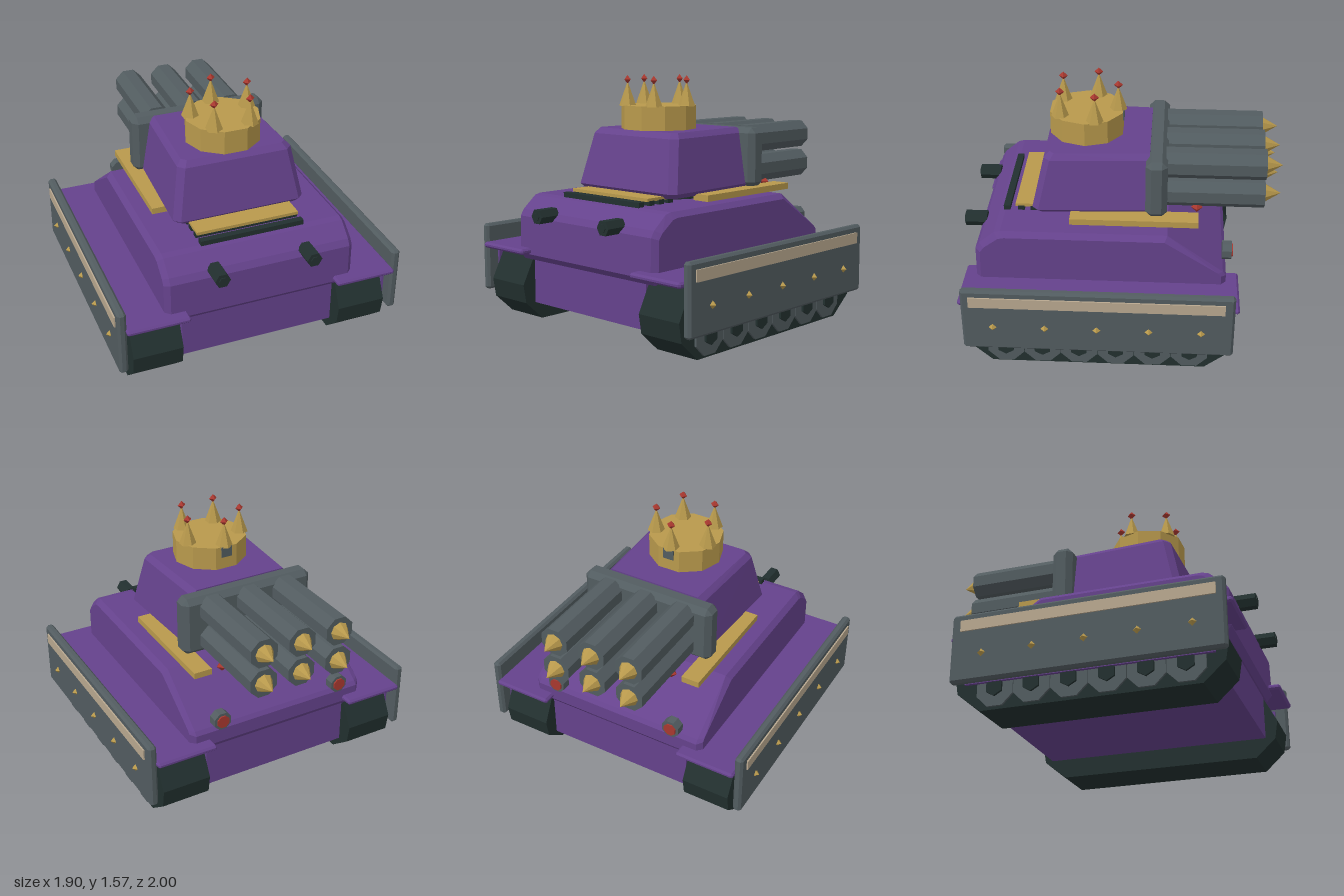
import * as THREE from 'three';
import { ConvexGeometry } from 'three/addons/geometries/ConvexGeometry.js';

const mat = (name, color) => {
  const m = new THREE.MeshStandardMaterial({ color, flatShading: true });
  m.name = name;
  return m;
};

export function createModel() {
  const purple = mat('purple', 0x65428c), grey = mat('steel grey', 0x525c60);
  const dark = mat('dark rubber', 0x22302f), gold = mat('gold', 0xb8994c);
  const beige = mat('beige', 0xb9a88f), red = mat('red', 0xa8382f);
  const model = new THREE.Group();
  model.name = 'tank';

  const add = (name, geo, material, x = 0, y = 0, z = 0) => {
    const m = new THREE.Mesh(geo, material);
    m.name = name;
    m.position.set(x, y, z);
    model.add(m);
    return m;
  };
  const box = (w, h, d) => new THREE.BoxGeometry(w, h, d);
  // Convex solid from [x, y, z] points
  const convex = (pts) => new ConvexGeometry(pts.map((p) => new THREE.Vector3(...p)));
  // Box with chamfered edges
  const chamferBox = (w, h, d, b) => {
    const pts = [], X = w / 2, Y = h / 2, Z = d / 2;
    for (const i of [-1, 1]) for (const j of [-1, 1]) for (const k of [-1, 1]) {
      pts.push([i * X, j * (Y - b), k * (Z - b)], [i * (X - b), j * Y, k * (Z - b)], [i * (X - b), j * (Y - b), k * Z]);
    }
    return convex(pts);
  };
  // Prism along z or x with a flat side facing up
  const prismZ = (r, len, n, r2 = r) =>
    new THREE.CylinderGeometry(r2, r, len, n).rotateY(Math.PI / n).rotateX(Math.PI / 2);
  const prismX = (r, len, n) =>
    new THREE.CylinderGeometry(r, r, len, n).rotateY(Math.PI / n).rotateZ(Math.PI / 2);

  // Lower hull
  add('lowerHull', box(1, 0.32, 1.49), purple, 0, 0.28, 0.105);

  // Upper hull: [z, y] side profile, pulled in towards the outer sides
  const profile = [[0.86, 0.4], [0.895, 0.44], [0.89, 0.68], [0.865, 0.72], [0.77, 0.8], [0.73, 0.81],
    [-0.3, 0.81], [-0.65, 0.555], [-0.67, 0.53], [-0.67, 0.44], [-0.64, 0.4]];
  const hull = [];
  for (const s of [-1, 1]) for (const [z, y] of profile) {
    hull.push([s * 0.582, y, z]);
    hull.push([s * 0.615, 0.6 + (y - 0.6) * 0.85, 0.1 + (z - 0.1) * 0.96]);
  }
  add('upperHull', convex(hull), purple);

  for (const s of [-1, 1]) {
    // Track body, extruded across x
    const shape = new THREE.Shape([[-0.78, 0], [-0.91, 0.12], [-0.93, 0.24], [-0.84, 0.415],
      [0.63, 0.415], [0.72, 0.24], [0.7, 0.12], [0.55, 0]].map((p) => new THREE.Vector2(...p)));
    const track = new THREE.ExtrudeGeometry(shape, { depth: 0.315, bevelEnabled: false });
    track.translate(0, 0, -0.1575).rotateY(Math.PI / 2);
    add('track', track, dark, s * 0.6775, 0, 0);

    // Road wheels and hubs
    for (let i = 0; i < 6; i++) {
      const z = 0.69 - i * 0.229;
      add('roadWheel', prismX(0.122, 0.04, 8), grey, s * 0.83, 0.13, z);
      add('wheelHub', prismX(0.055, 0.06, 6), dark, s * 0.835, 0.13, z);
    }

    // Fender, inner guard and armoured skirt
    add('fender', chamferBox(0.395, 0.036, 1.72, 0.012), purple, s * 0.6775, 0.463, 0.11);
    add('innerGuard', box(0.02, 0.27, 1.5), purple, s * 0.863, 0.295, 0.11);
    add('skirt', chamferBox(0.055, 0.435, 1.66, 0.015), grey, s * 0.8955, 0.3775, 0.11);
    add('skirtStripe', box(0.009, 0.07, 1.55), beige, s * 0.9275, 0.515, 0.115);
    for (let i = 0; i < 5; i++) {
      add('rivet', new THREE.OctahedronGeometry(0.026), gold, s * 0.922, 0.33, 0.75 - i * 0.3175);
    }

    // Gold deck rail
    add('deckRail', box(0.12, 0.04, 0.8), gold, s * 0.435, 0.833, -0.09);

    // Headlight
    add('headlight', prismZ(0.049, 0.14, 6), dark, s * 0.295, 0.715, 0.925);
    add('headlightLens', prismZ(0.026, 0.008, 6), dark, s * 0.295, 0.715, 0.997);

    // Tail lamp
    add('tailLampHousing', prismZ(0.06, 0.06, 8), grey, s * 0.42, 0.61, -0.675);
    add('tailLamp', prismZ(0.042, 0.012, 8), red, s * 0.42, 0.61, -0.708);
  }

  // Front vent: dark slats below a gold cover
  add('ventCover', box(0.665, 0.02, 0.2), gold, 0, 0.845, 0.565);
  for (const z of [0.72, 0.63, 0.55, 0.47]) add('ventSlat', box(0.67, 0.032, 0.042), dark, 0, 0.823, z);

  // Turret ring and turret: chamfered tapering rings
  add('turretRing', new THREE.CylinderGeometry(0.34, 0.34, 0.07, 16), dark, 0, 0.83, 0.15);
  const turret = [];
  const ring = (y, front, back, zf, zb, c) => {
    for (const s of [-1, 1]) {
      turret.push([s * front, y, zf - c], [s * (front - c), y, zf], [s * back, y, zb]);
    }
  };
  ring(0.84, 0.395, 0.37, 0.52, -0.18, 0.03);
  ring(0.872, 0.43, 0.4, 0.55, -0.18, 0.04);
  ring(1.195, 0.372, 0.345, 0.475, -0.18, 0.04);
  ring(1.23, 0.34, 0.31, 0.44, -0.18, 0.03);
  add('turret', convex(turret), purple);

  // Launcher back plate
  add('launcherPlate', chamferBox(0.91, 0.385, 0.135, 0.035), grey, 0, 1.0375, -0.225);

  // Two rows of three launch tubes with pointed tips
  for (const x of [-0.258, 0, 0.258]) {
    for (const y of [1.143, 0.942]) {
      add('launchTube', prismZ(0.0965, 0.62, 8), grey, x, y, -0.59);
      const tip = new THREE.ConeGeometry(0.06, 0.1, 8).rotateX(-Math.PI / 2);
      add('rocketTip', tip, gold, x, y, -0.95);
    }
    add('tubeGem', new THREE.OctahedronGeometry(0.038), red, x * 1.16, 0.847, -0.48);
  }

  // Crown with five jewelled spires
  const cz = 0.228;
  add('crownBand', new THREE.CylinderGeometry(0.24, 0.24, 0.15, 10).rotateY(Math.PI / 10), gold, 0, 1.305, cz);
  for (let i = 0; i < 5; i++) {
    const a = Math.PI + i * Math.PI * 0.4;
    const x = 0.197 * Math.sin(a), z = cz + 0.197 * Math.cos(a);
    add('crownSpire', new THREE.ConeGeometry(0.056, 0.155, 6), gold, x, 1.4525, z);
    add('crownJewel', new THREE.OctahedronGeometry(0.028), red, x, 1.54, z);
  }
  add('crownClasp', box(0.075, 0.07, 0.03), grey, 0, 1.345, 0.007);

  return model;
}
